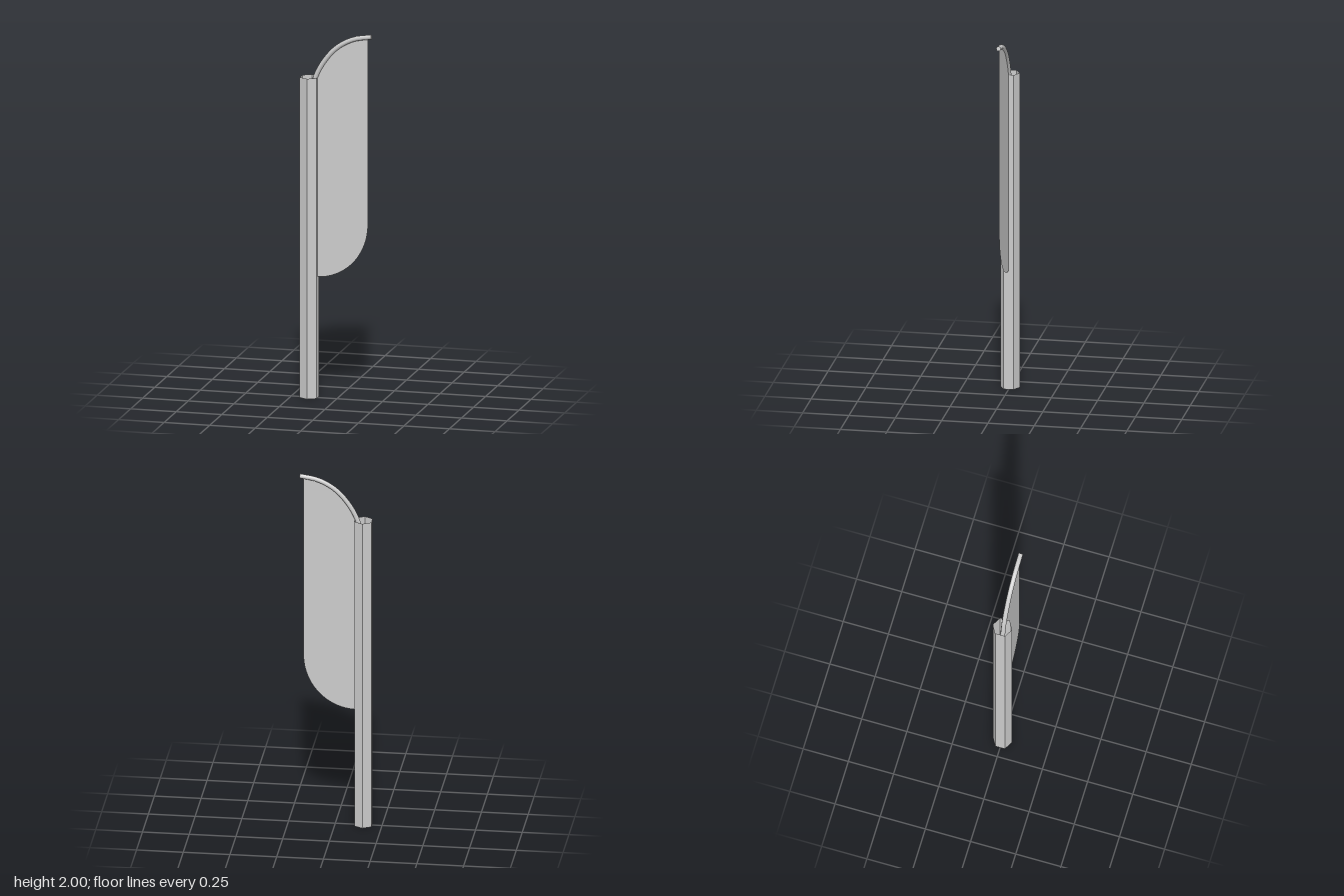
import * as THREE from 'three';

const ROD_RADIUS = 0.013;
const POLE_X = -0.151;

export function createModel() {
  const group = new THREE.Group();
  const add = (name, geometry, options = {}) => {
    const material = new THREE.MeshStandardMaterial({ color: 0xcccccc, ...options });
    const mesh = new THREE.Mesh(geometry, material);
    mesh.name = name;
    group.add(mesh);
    return mesh;
  };

  // Hollow hexagonal pole, open at both ends
  const pole = add('pole', new THREE.CylinderGeometry(0.053, 0.053, 1.75, 6, 1, true),
    { flatShading: true, side: THREE.DoubleSide });
  pole.position.set(POLE_X, 0.875, 0);

  // Curved arm rising out of the pole
  const curve = new THREE.CatmullRomCurve3([
    [-0.148, 1.62], [-0.118, 1.75], [-0.07, 1.84], [0, 1.918], [0.09, 1.968], [0.19, 1.987],
  ].map(([x, y]) => new THREE.Vector3(x, y, 0)));
  add('arm', new THREE.TubeGeometry(curve, 20, ROD_RADIUS, 8, false));

  // Discs closing the arm ends
  for (const [t, sign] of [[0, -1], [1, 1]]) {
    const cap = add('armEnd', new THREE.CircleGeometry(ROD_RADIUS, 8));
    cap.position.copy(curve.getPointAt(t));
    cap.lookAt(cap.position.clone().addScaledVector(curve.getTangentAt(t), sign));
  }

  // Thin banner hanging from the arm, with a rounded lower outer corner
  const shape = new THREE.Shape();
  shape.moveTo(-0.11, 0.66);
  shape.absellipse(-0.11, 0.96, 0.28, 0.3, -Math.PI / 2, 0, false);
  shape.lineTo(0.17, 1.98);
  for (let i = 0; i <= 12; i++) {
    const p = curve.getPoint(0.96 - (i / 12) * 0.75);
    shape.lineTo(Math.min(p.x, 0.17), p.y - 0.006);
  }
  shape.lineTo(-0.11, 1.74);
  add('banner', new THREE.ShapeGeometry(shape, 12), { side: THREE.DoubleSide });

  return group;
}
